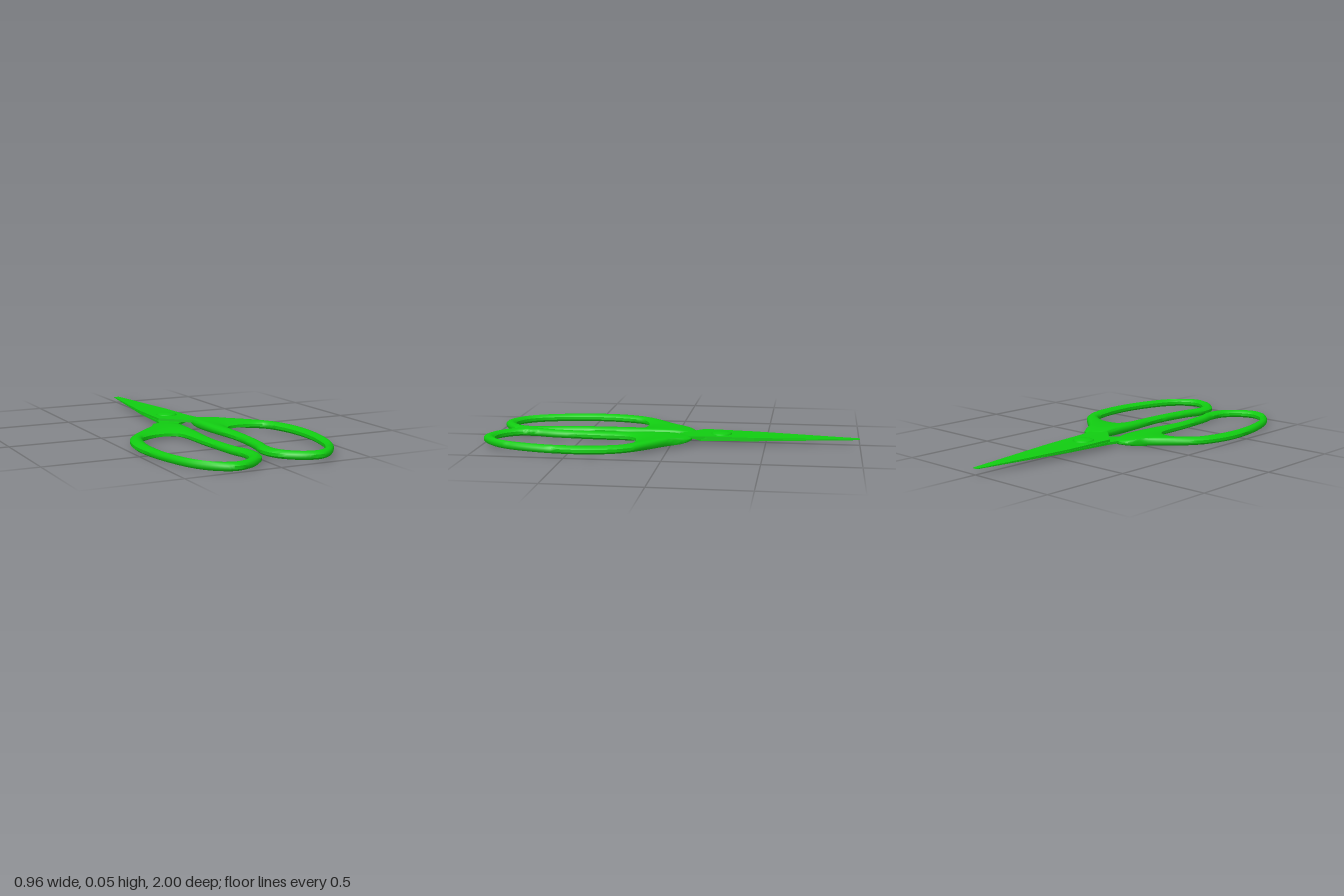
import * as THREE from 'three';
import { toCreasedNormals } from 'three/addons/utils/BufferGeometryUtils.js';

const green = new THREE.MeshStandardMaterial({ color: 0x11cc11, side: THREE.DoubleSide });

// Paired rows: outer rim x, z and the matching finger hole x, z
const RIM = [
  [0.10, -0.112, 0.20, 0.175], [0.16, -0.09, 0.24, 0.172], [0.205, -0.01, 0.285, 0.18],
  [0.29, 0.07, 0.33, 0.20], [0.395, 0.17, 0.365, 0.23], [0.45, 0.27, 0.39, 0.30],
  [0.478, 0.42, 0.413, 0.43], [0.463, 0.61, 0.41, 0.60], [0.41, 0.80, 0.37, 0.78],
  [0.345, 0.91, 0.32, 0.88], [0.27, 0.98, 0.26, 0.925], [0.20, 0.995, 0.205, 0.937],
  [0.11, 0.955, 0.14, 0.91], [0.03, 0.87, 0.085, 0.84], [0.013, 0.77, 0.08, 0.74],
  [0.04, 0.66, 0.10, 0.64], [0.06, 0.45, 0.118, 0.45], [0.045, 0.19, 0.125, 0.27],
  [0.045, 0.0, 0.14, 0.21], [0.065, -0.085, 0.165, 0.185],
];

function loop(a, b) {
  return new THREE.CatmullRomCurve3(RIM.map((p) => new THREE.Vector3(p[a], 0, p[b])), true, 'catmullrom', 0.5);
}

// Handle: bevelled section swept between the outer rim and the finger hole
function handle(name, side, midY) {
  const outer = loop(0, 1), inner = loop(2, 3), N = 100, half = 0.022;
  const pos = [], index = [];
  let M = 0;
  for (let i = 0; i < N; i++) {
    const o = outer.getPoint(i / N), n = inner.getPoint(i / N);
    const w = o.distanceTo(n);
    const bo = Math.min(0.026, w * 0.4) / w; // bevel at the rim
    const bi = Math.max(0.022, w * 0.33) / w; // wider bevel at the shoulder
    const top = [[0, 0.35], [bo * 0.4, 0.75], [bo, 0.97], [(1 + bo - bi) / 2, 1],
      [1 - bi, 0.95], [1 - bi * 0.4, 0.72], [1, 0.35]];
    const ring = [...top, ...top.map(([u, h]) => [u, -h]).reverse()];
    M = ring.length;
    for (const [u, h] of ring) {
      const p = o.clone().lerp(n, u);
      const thin = THREE.MathUtils.lerp(0.65, 1, THREE.MathUtils.smoothstep(p.z, -0.11, 0.02));
      pos.push(side * p.x, midY + h * half * thin, p.z);
    }
  }
  for (let i = 0; i < N; i++) {
    for (let j = 0; j < M; j++) {
      const k = (i + 1) % N, l = (j + 1) % M;
      const a = i * M + j, b = i * M + l, c = k * M + l, d = k * M + j;
      if (side > 0) index.push(a, b, d, b, c, d);
      else index.push(a, d, b, b, d, c);
    }
  }
  const g = new THREE.BufferGeometry();
  g.setAttribute('position', new THREE.Float32BufferAttribute(pos, 3));
  g.setIndex(index);
  g.computeVertexNormals();
  const m = new THREE.Mesh(toCreasedNormals(g, 0.8), green);
  m.name = name;
  return m;
}

// Blade: flat plate with a tang into its handle, thinning towards the point
function blade(name, side, y0, y1) {
  const outline = [[0.015, -1], [0.083, -0.44], [0.097, -0.18], [0.12, -0.08], [0.12, -0.02],
    [0.06, -0.02], [0.0, -0.07], [-0.095, -0.16], [-0.083, -0.44], [-0.015, -1]];
  const shape = new THREE.Shape(outline.map(([x, z]) => new THREE.Vector2(side * x, -z)));
  const g = new THREE.ExtrudeGeometry(shape, { depth: 1, bevelEnabled: false });
  g.rotateX(-Math.PI / 2);
  const p = g.attributes.position;
  for (let i = 0; i < p.count; i++) {
    const y = y0 + (y1 - y0) * p.getY(i);
    const t = THREE.MathUtils.clamp((p.getZ(i) + 1) / 0.83, 0.12, 1);
    p.setY(i, 0.033 + (y - 0.033) * t);
  }
  g.computeVertexNormals();
  const m = new THREE.Mesh(g, green);
  m.name = name;
  return m;
}

// Pivot: domed rivet showing on both faces
function pivot() {
  const profile = [[0, 0.006], [0.03, 0.008], [0.048, 0.013], [0.058, 0.021],
    [0.058, 0.043], [0.048, 0.049], [0.03, 0.053], [0, 0.055]];
  const g = new THREE.LatheGeometry(profile.map(([r, y]) => new THREE.Vector2(r, y)), 32);
  const m = new THREE.Mesh(g, green);
  m.name = 'pivotRivet';
  m.position.z = -0.26;
  return m;
}

export function createModel() {
  const group = new THREE.Group();
  group.name = 'scissors';
  group.add(
    handle('leftHandle', 1, 0.033),
    handle('rightHandle', -1, 0.022),
    blade('upperBlade', 1, 0.033, 0.046),
    blade('lowerBlade', -1, 0.019, 0.032),
    pivot(),
  );
  return group;
}
